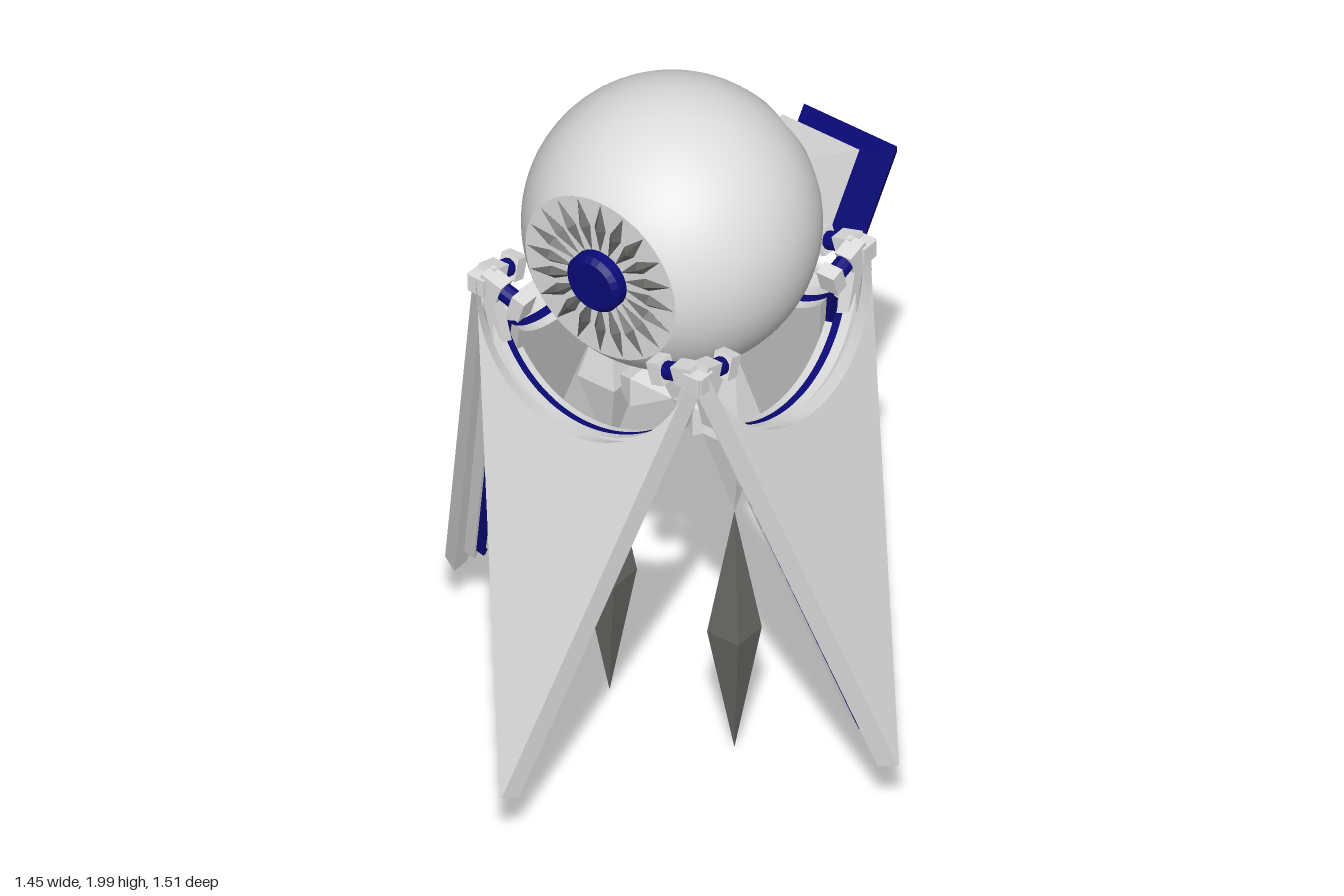
import * as THREE from 'three';

const shell = new THREE.MeshStandardMaterial({ color: 0xdedede });
shell.name = 'pale grey';
const navy = new THREE.MeshStandardMaterial({ color: 0x0a0a78 });
navy.name = 'navy';
const dark = new THREE.MeshStandardMaterial({ color: 0x686866 });
dark.name = 'dark grey';

function add(parent, name, geometry, material, x = 0, y = 0, z = 0) {
  const mesh = new THREE.Mesh(geometry, material);
  mesh.name = name;
  mesh.position.set(x, y, z);
  parent.add(mesh);
  return mesh;
}

function flat(geometry) {
  const g = geometry.index ? geometry.toNonIndexed() : geometry;
  g.computeVertexNormals();
  return g;
}

// Square-section turned solid; profile is [half side, height] from bottom to top
function squareLathe(profile) {
  const pts = profile.map(([h, y]) => new THREE.Vector2(h * Math.SQRT2, y));
  return flat(new THREE.LatheGeometry(pts, 4, Math.PI / 4));
}

const spindle = (half, length) => squareLathe([[0, 0], [half, length / 2], [0, length]]);

// Tapering panel outline with a round cut-out at the top
function panelLayer(tipY, tipHalf, topHalf, front, thickness, flare = 0) {
  const cy = 1.392, r = 0.346;
  const endY = cy - Math.sqrt(r * r - topHalf * topHalf);
  const angle = Math.atan2(endY - cy, topHalf);
  const s = new THREE.Shape();
  s.moveTo(-tipHalf, tipY);
  s.lineTo(tipHalf, tipY);
  s.lineTo(topHalf, endY);
  s.absarc(0, cy, r, angle, -Math.PI - angle, true);
  s.closePath();
  const g = new THREE.ExtrudeGeometry(s, { depth: thickness, bevelEnabled: false, curveSegments: 24 });
  // Widen the inner face so the side edges slope
  const p = g.attributes.position;
  for (let i = 0; i < p.count; i++) {
    if (p.getZ(i) > thickness / 2) continue;
    const x = p.getX(i);
    p.setX(i, x + Math.sign(x) * flare * Math.min(1, Math.abs(x) / 0.003));
  }
  g.translate(0, 0, -front - thickness);
  return flat(g);
}

// Ball open at the front, with a pleated hollow at the back
function buildHead(parent) {
  const head = new THREE.Group();
  head.name = 'head';
  head.position.set(0, 1.614, 0);
  parent.add(head);

  const R = 0.386, segs = 80, rows = 32, start = 0.671, end = Math.PI - 0.866;
  const ball = new THREE.SphereGeometry(R, segs, rows, 0, Math.PI * 2, start, end - start);
  const p = ball.attributes.position, n = ball.attributes.normal;
  const rim = [];
  for (let i = 0; i <= segs; i++) {
    const phi = (i / segs) * Math.PI * 2;
    const wave = Math.abs(((i % 8) / 4) - 1);
    const t = end + 0.117 * wave;
    const v = new THREE.Vector3(-Math.cos(phi) * Math.sin(t), Math.cos(t), Math.sin(phi) * Math.sin(t));
    const k = rows * (segs + 1) + i;
    n.setXYZ(k, v.x, v.y, v.z);
    v.multiplyScalar(R);
    p.setXYZ(k, v.x, v.y, v.z);
    rim.push(v);
  }
  add(head, 'headShell', ball.rotateX(Math.PI / 2), shell);

  const apex = new THREE.Vector3(0, -0.17, 0);
  const fanPoints = [];
  for (let i = 0; i < segs; i += 4) fanPoints.push(apex, rim[i + 4], rim[i]);
  // Fill the slim curve between each flat pleat and the rim
  for (let i = 0; i < segs; i += 4) {
    for (let j = 1; j < 4; j++) fanPoints.push(rim[i], rim[i + j + 1], rim[i + j]);
  }
  const fan = new THREE.BufferGeometry().setFromPoints(fanPoints);
  add(head, 'pleatedHollow', flat(fan).rotateX(Math.PI / 2), shell);

  // Eye: backing disc, ring of petals, hub
  add(head, 'eyeDisc', new THREE.CircleGeometry(0.241, 48), shell, 0, 0, 0.302);
  const petal = flat(new THREE.OctahedronGeometry(1).scale(0.018, 0.077, 0.018));
  for (let i = 0; i < 20; i++) {
    const a = (i / 20) * Math.PI * 2;
    const m = add(head, 'eyePetal', petal, dark, -Math.sin(a) * 0.158, Math.cos(a) * 0.158, 0.304);
    m.rotation.z = a;
  }
  const hub = new THREE.LatheGeometry(
    [[0, 0], [0.084, 0], [0.084, 0.032], [0.07, 0.046], [0, 0.046]].map(([x, y]) => new THREE.Vector2(x, y)), 24);
  add(head, 'eyeHub', flat(hub).rotateX(Math.PI / 2), navy, 0, 0, 0.3);
}

// Layered leg panel with a pair of hinge links at its top corners
function buildSide(parent, turn) {
  const side = new THREE.Group();
  side.name = 'legSide';
  side.rotation.y = turn;
  parent.add(side);

  const panel = new THREE.Group();
  panel.name = 'legPanel';
  panel.position.set(0, 0.197, 0.725);
  panel.rotation.x = -0.263;
  side.add(panel);
  add(panel, 'outerPlate', panelLayer(0, 0.003, 0.343, 0, 0.048, 0.022), shell);
  add(panel, 'middlePlate', panelLayer(0.06, 0.004, 0.3, 0.048, 0.032), shell);
  add(panel, 'navyCore', panelLayer(0.09, 0.004, 0.277, 0.08, 0.024), navy);
  add(panel, 'innerPlate', panelLayer(0.12, 0.004, 0.25, 0.104, 0.025), shell);

  for (const s of [-1, 1]) {
    const link = new THREE.Group();
    link.name = 'hingeLink';
    link.position.set(s * 0.262, 1.46, 0.342);
    link.rotation.z = s * 0.3;
    side.add(link);
    add(link, 'outerBlock', new THREE.BoxGeometry(0.065, 0.055, 0.05), shell, s * 0.05, 0, 0);
    add(link, 'innerBlock', new THREE.BoxGeometry(0.04, 0.065, 0.055), shell, -s * 0.04, 0, 0);
    add(link, 'pin', flat(new THREE.CylinderGeometry(0.025, 0.025, 0.06, 12).rotateZ(Math.PI / 2)), navy);
    // Corner cap and brace behind the panel edge
    add(side, 'cornerCap', new THREE.BoxGeometry(0.05, 0.05, 0.05), shell, s * 0.345, 1.472, 0.35);
    const brace = add(side, 'brace', new THREE.BoxGeometry(0.035, 0.17, 0.035), shell, s * 0.305, 1.38, 0.342);
    brace.rotation.z = -s * 0.25;
  }
}

export function createModel() {
  const model = new THREE.Group();
  model.name = 'walker';
  const body = new THREE.Group();
  body.name = 'body';
  body.position.z = 0.03;
  model.add(body);

  buildHead(body);
  for (let i = 0; i < 4; i++) buildSide(body, (i * Math.PI) / 2);

  // Hanging limbs under the head
  for (const s of [-1, 1]) {
    add(body, 'lowerSpike', spindle(0.05, 0.76), dark, s * 0.2, 0.01, 0);
    add(body, 'upperSpike', spindle(0.058, 0.52), shell, s * 0.2, 0.77, 0);
    add(body, 'crossSpike', spindle(0.045, 0.2).rotateZ(-s * Math.PI / 2), shell, 0, 1.04, 0);
  }

  // Tail: pyramid and thruster block, pointing down and back
  const tail = new THREE.Group();
  tail.name = 'tail';
  tail.position.set(0, 1.6, -0.25);
  tail.rotation.x = -2.165;
  model.add(tail);
  add(tail, 'tailPyramid', squareLathe([[0, 0], [0.124, 0.338], [0, 0.338]]), shell);
  add(tail, 'tailBlock', squareLathe([[0, 0], [0.074, 0], [0.149, 0.135], [0.128, 0.182], [0, 0.182]]), navy, 0, 0.338, 0);

  return model;
}
